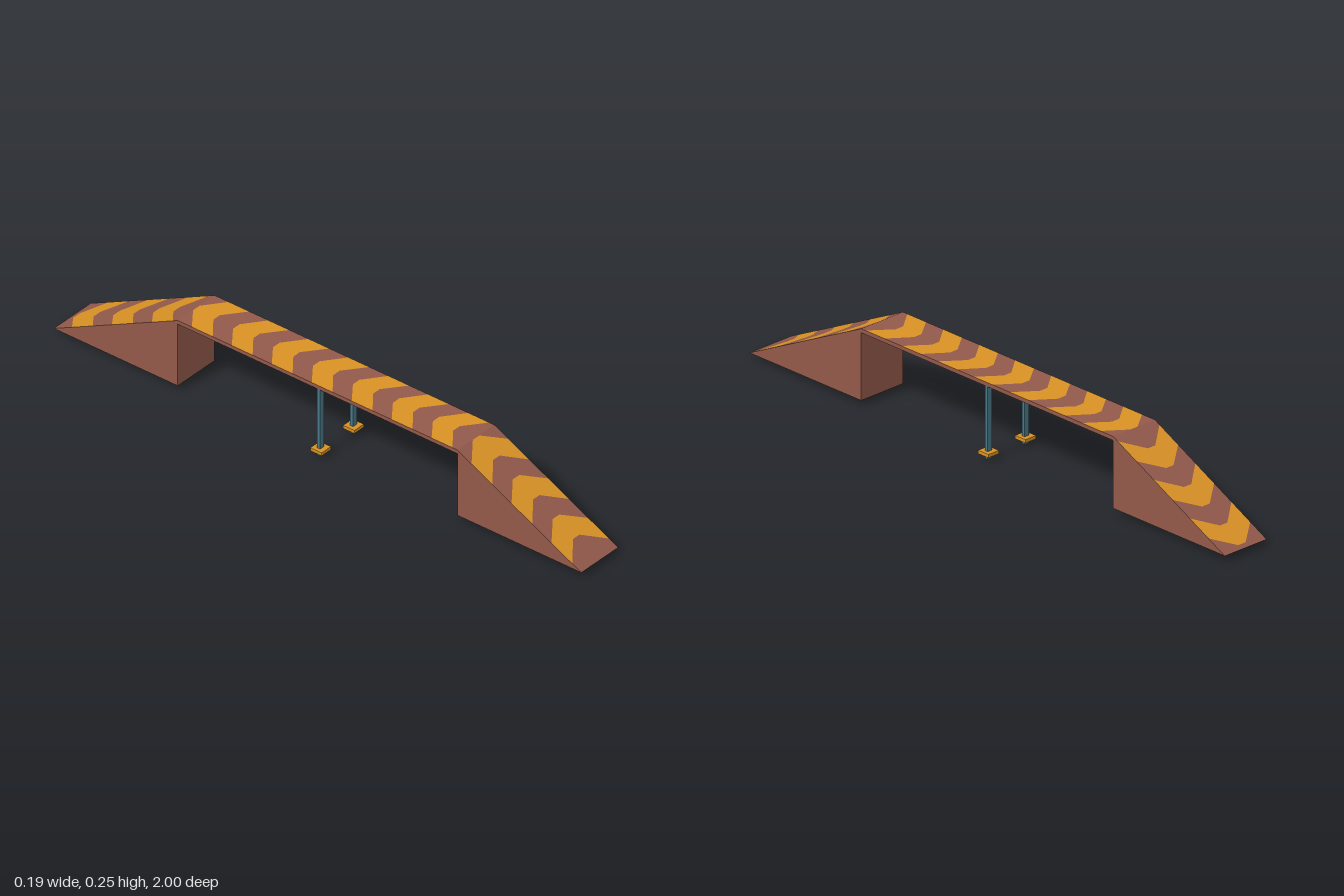
import * as THREE from 'three';

const HALF = 0.085;      // half width of the walkway
const CREASE = 0.53;     // z where the ramps meet the deck
const TOP = 0.247;
const BASE = 0.016;
const RIM = 0.013;       // depth of the deck edge

const mat = (name, color) => {
  const m = new THREE.MeshStandardMaterial({ color, side: THREE.DoubleSide });
  m.name = name;
  return m;
};

const heightAt = (z) => {
  const a = Math.abs(z);
  return a <= CREASE ? TOP : TOP - (TOP - BASE) * (a - CREASE) / (1 - CREASE);
};

// A row across the walkway: flat in the middle, swept back by `sweep` at the sides
const row = (z, sweep) => [-HALF, -0.015, 0.015, HALF].map((x, i) => {
  const zz = z + (i === 0 || i === 3 ? sweep : 0);
  return [x, heightAt(zz), zz];
});

// Surface strip between two rows
function strip(a, b) {
  const pos = [];
  for (let i = 0; i < 3; i++) {
    pos.push(...a[i], ...b[i], ...b[i + 1], ...a[i], ...b[i + 1], ...a[i + 1]);
  }
  const g = new THREE.BufferGeometry();
  g.setAttribute('position', new THREE.Float32BufferAttribute(pos, 3));
  g.computeVertexNormals();
  return g;
}

export function createModel() {
  const brown = mat('brownBoards', 0x92594a);
  const yellow = mat('yellowPaint', 0xd99225);
  const teal = mat('tealMetal', 0x4a7a8a);

  const model = new THREE.Group();
  model.name = 'dogWalkRamp';
  const add = (parent, name, geometry, material, x = 0, y = 0, z = 0) => {
    const m = new THREE.Mesh(geometry, material);
    m.name = name;
    m.position.set(x, y, z);
    parent.add(m);
    return m;
  };

  // Walking surface: chevron bands, with a straight row at each crease
  const surface = new THREE.Group();
  surface.name = 'walkingSurface';
  model.add(surface);
  let last = row(-1, 0);
  const next = (r, name, material) => {
    add(surface, name, strip(last, r), material);
    last = r;
  };
  for (let k = 0; k < 13; k++) {
    if (k === 3) next(row(-CREASE, 0), 'board', brown);
    if (k === 10) next(row(CREASE, 0), 'board', brown);
    const apex = -0.5295 + (k - 3) * 0.1515;
    next(row(apex, 0.053), 'board', brown);
    next(row(apex + 0.077, 0.055), 'chevron', yellow);
  }
  next(row(1, 0), 'board', brown);

  // Side panels: ramp triangles joined by the shallow deck edge
  const side = new THREE.Shape([
    [-1, BASE], [-CREASE, BASE], [-CREASE, TOP - RIM], [CREASE, TOP - RIM],
    [CREASE, BASE], [1, BASE], [CREASE, TOP], [-CREASE, TOP],
  ].map(([z, y]) => new THREE.Vector2(z, y)));
  for (const s of [-1, 1]) {
    const g = new THREE.ShapeGeometry(side);
    g.rotateY(-Math.PI / 2);
    // Turn the left panel's faces outward
    if (s > 0) g.rotateY(Math.PI);
    add(model, 'sidePanel', g, brown, s * HALF);
  }

  // Upright walls closing the inner ends of the ramps
  for (const s of [-1, 1]) {
    const wall = add(model, 'rampEndWall', new THREE.PlaneGeometry(HALF * 2, TOP - BASE), brown,
      0, (TOP + BASE) / 2, s * CREASE);
    if (s > 0) wall.rotation.y = Math.PI;
  }

  // Middle support: two posts with square feet and a cross bar
  const support = new THREE.Group();
  support.name = 'middleSupport';
  support.position.z = 0.004;
  model.add(support);
  const postTop = TOP - 0.008;
  for (const s of [-1, 1]) {
    add(support, 'post', new THREE.BoxGeometry(0.018, postTop, 0.011), teal, s * 0.0755, postTop / 2);
    add(support, 'foot', new THREE.BoxGeometry(0.043, 0.011, 0.043), yellow, s * 0.0755, 0.0195);
  }
  add(support, 'crossBar', new THREE.BoxGeometry(HALF * 2 - 0.002, 0.01, 0.012), brown, 0, TOP - 0.008);

  return model;
}
